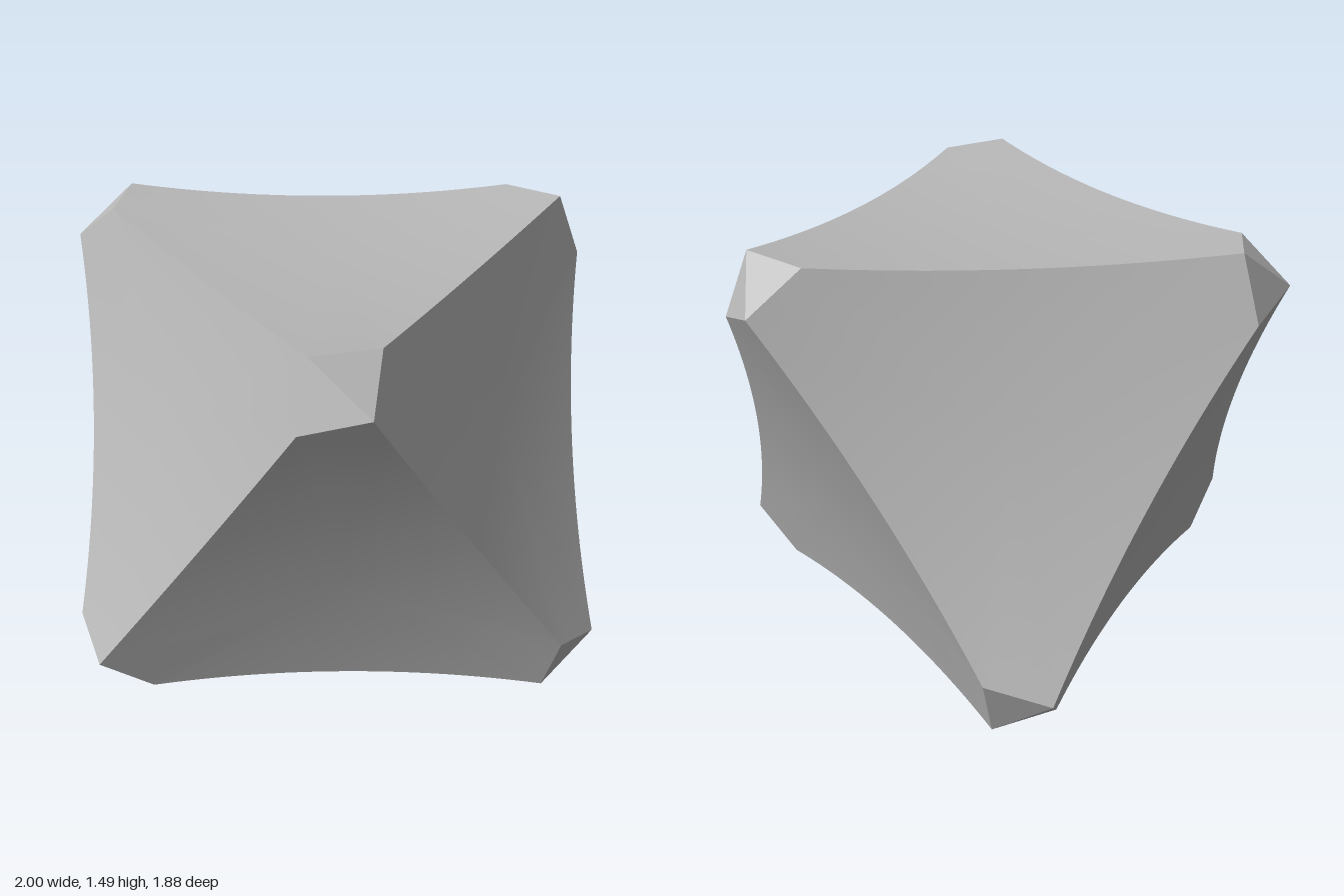
import * as THREE from 'three';

// Corner facets: ridge points sit at (A, +-B), lower points at (C, +-D)
const A = 1.157, B = 0.132, C = 1.09, D = 0.18;
const EDGE_SAG = 0.045;   // how far the long edges bow inwards
const FACE_LEVEL = 0.686; // distance of a face centre from the body centre
const STEPS = 24, RINGS = 14;

// Three perpendicular body axes, tilted so the solid rests on one face
const axes = [7.4, 127.4, 247.4].map((deg) => {
  const t = THREE.MathUtils.degToRad(deg), r = Math.sqrt(2 / 3);
  return new THREE.Vector3(r * Math.cos(t), 1 / Math.sqrt(3), r * Math.sin(t));
});
const toWorld = (p) => new THREE.Vector3()
  .addScaledVector(axes[0], p.x).addScaledVector(axes[1], p.y).addScaledVector(axes[2], p.z);

// Point with value u on axis k, v on the next axis and w on the one after
function onAxes(k, u, v, w) {
  const p = new THREE.Vector3();
  p.setComponent(k, u);
  p.setComponent((k + 1) % 3, v);
  p.setComponent((k + 2) % 3, w);
  return p;
}

// Outline of one face: three bowed edges joined by the straight facet sides
function faceOutline() {
  const pts = [];
  for (let k = 0; k < 3; k++) {
    const from = onAxes(k, A, B, 0), to = onAxes(k, D, C, 0);
    const inward = onAxes(k, -1, -1, 0).normalize();
    for (let i = 0; i <= STEPS; i++) {
      const t = i / STEPS;
      pts.push(from.clone().lerp(to, t).addScaledVector(inward, EDGE_SAG * 4 * t * (1 - t)));
    }
    const next = onAxes((k + 1) % 3, A, B, 0);
    for (let i = 1; i < 4; i++) pts.push(to.clone().lerp(next, i / 4));
  }
  return pts;
}

// Dished face: rings from the centre to the outline, rising with the square of the radius
function faceGeometry(outline, signs) {
  const n = new THREE.Vector3(1, 1, 1).normalize();
  const count = outline.length, pos = [], index = [];
  const ccw = signs.x * signs.y * signs.z < 0;
  const tri = (a, b, c) => (ccw ? index.push(a, b, c) : index.push(a, c, b));
  const add = (p) => pos.push(...toWorld(p.clone().multiply(signs)).toArray());
  add(n.clone().multiplyScalar(FACE_LEVEL));
  for (let r = 1; r <= RINGS; r++) {
    const s = r / RINGS;
    for (const p of outline) {
      const h = p.dot(n);
      const flat = p.clone().addScaledVector(n, -h).multiplyScalar(s);
      add(flat.addScaledVector(n, FACE_LEVEL + (h - FACE_LEVEL) * s * s));
    }
  }
  for (let i = 0; i < count; i++) {
    const j = (i + 1) % count;
    tri(0, 1 + i, 1 + j);
    for (let r = 1; r < RINGS; r++) {
      const a = 1 + (r - 1) * count, b = a + count;
      tri(a + i, b + i, b + j);
      tri(a + i, b + j, a + j);
    }
  }
  const g = new THREE.BufferGeometry();
  g.setAttribute('position', new THREE.Float32BufferAttribute(pos, 3));
  g.setIndex(index);
  g.computeVertexNormals();
  return g;
}

// Blunt corner: two flat triangles meeting along a ridge
function cornerGeometry(k, s) {
  const p = onAxes(k, s * A, B, 0), q = onAxes(k, s * A, -B, 0);
  const pos = [];
  for (const side of [1, -1]) {
    let t = [p, q, onAxes(k, s * C, 0, side * D)].map(toWorld);
    const normal = new THREE.Triangle(...t).getNormal(new THREE.Vector3());
    if (normal.dot(t[0]) < 0) t = [t[0], t[2], t[1]];
    t.forEach((v) => pos.push(...v.toArray()));
  }
  const g = new THREE.BufferGeometry();
  g.setAttribute('position', new THREE.Float32BufferAttribute(pos, 3));
  g.computeVertexNormals();
  return g;
}

export function createModel() {
  const model = new THREE.Group();
  model.name = 'dishedOctahedron';
  const grey = new THREE.MeshStandardMaterial({ color: 0xb8b8b8 });
  grey.name = 'grey';
  const body = new THREE.Group();
  body.name = 'body';
  body.position.y = (A + B) / Math.sqrt(3);
  model.add(body);

  const add = (geometry, name) => {
    const mesh = new THREE.Mesh(geometry, grey);
    mesh.name = name;
    body.add(mesh);
  };

  // Eight dished faces
  const outline = faceOutline();
  for (const x of [1, -1]) for (const y of [1, -1]) for (const z of [1, -1]) {
    add(faceGeometry(outline, new THREE.Vector3(x, y, z)), 'dishedFace');
  }
  // Six blunt corners
  for (let k = 0; k < 3; k++) for (const s of [1, -1]) add(cornerGeometry(k, s), 'bluntCorner');
  return model;
}
